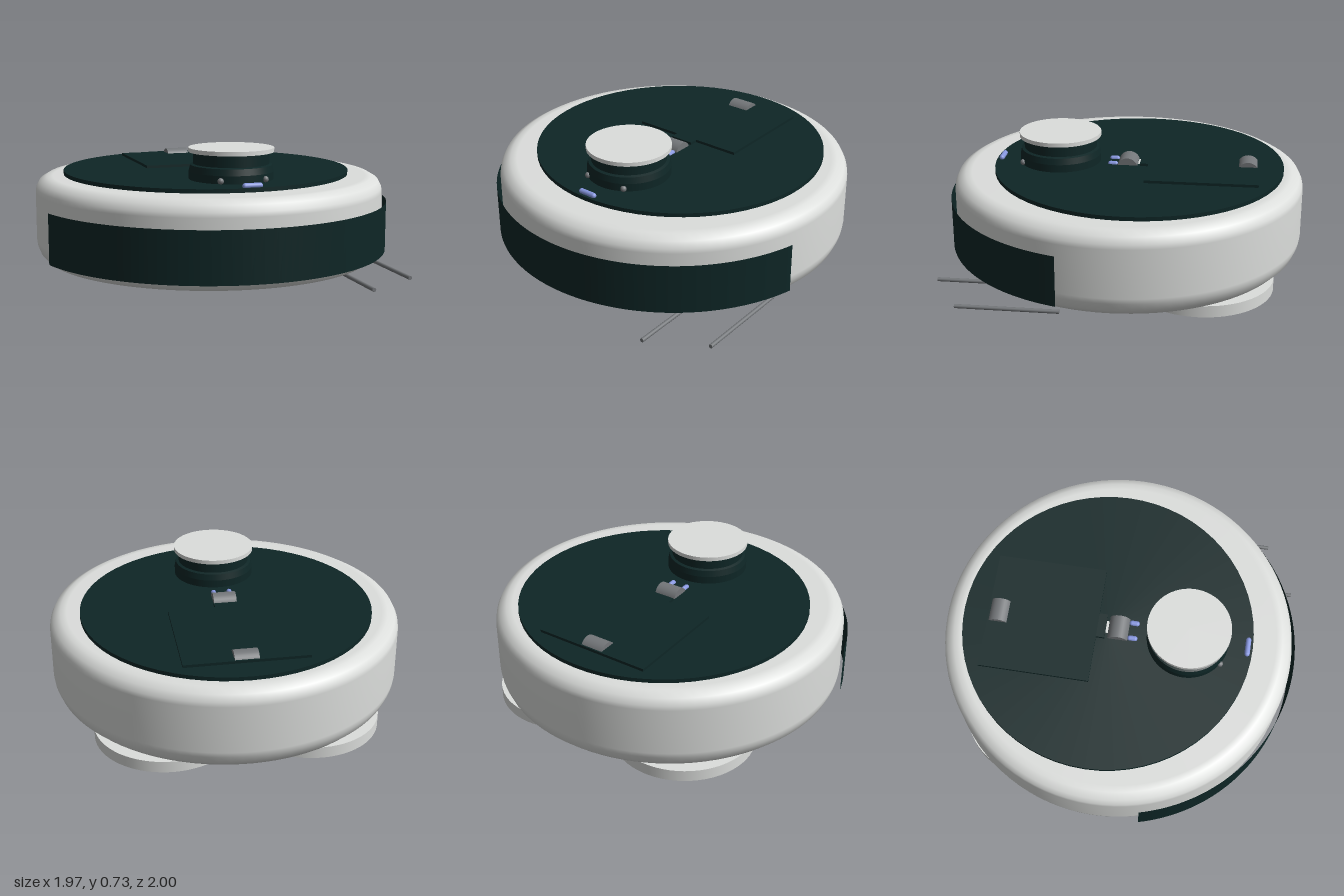
import * as THREE from 'three';

export function createModel() {
  const model = new THREE.Group();
  model.name = 'robotVacuum';

  const mat = (name, color, side = THREE.FrontSide) => {
    const m = new THREE.MeshStandardMaterial({ color, side });
    m.name = name;
    return m;
  };
  const white = mat('shell white', 0xdcdedc);
  const dark = mat('dark green', 0x0e2626, THREE.DoubleSide);
  const gray = mat('metal gray', 0x74777a);
  const blue = mat('indicator blue', 0x8797e0);

  const add = (name, geometry, material, x = 0, y = 0, z = 0) => {
    const mesh = new THREE.Mesh(geometry, material);
    mesh.name = name;
    mesh.position.set(x, y, z);
    model.add(mesh);
    return mesh;
  };
  // Upright disc given by its bottom and top heights
  const disc = (name, r, y0, y1, material, x, z) =>
    add(name, new THREE.CylinderGeometry(r, r, y1 - y0, 64), material, x, (y0 + y1) / 2, z);
  const box = (name, w, y0, y1, d, material, x, z) =>
    add(name, new THREE.BoxGeometry(w, y1 - y0, d), material, x, (y0 + y1) / 2, z);

  // Round shell with softened rims
  const profile = [
    [0, 0.07], [0.88, 0.07], [0.93, 0.07], [0.965, 0.105], [0.983, 0.15], [0.987, 0.18],
    [0.987, 0.45], [0.983, 0.475], [0.965, 0.51], [0.925, 0.533], [0.89, 0.535], [0, 0.535],
  ].map(([r, y]) => new THREE.Vector2(r, y));
  const bodyZ = -0.0125;
  add('bodyShell', new THREE.LatheGeometry(profile, 96), white, 0, 0, bodyZ);

  // Thin open bumper around the front
  const sweep = THREE.MathUtils.degToRad(150);
  add('frontBumper',
    new THREE.CylinderGeometry(1.0125, 1.0125, 0.28, 72, 1, true, -sweep / 2, sweep),
    dark, 0, 0.255, bodyZ);

  // Top plate and hatch
  disc('topPlate', 0.818, 0.53, 0.557, dark, 0, -0.072);
  box('hatch', 0.67, 0.55, 0.572, 0.62, dark, 0, -0.44);
  box('hatchTongue', 0.14, 0.55, 0.572, 0.05, dark, 0, -0.107);
  box('latchGap', 0.07, 0.553, 0.56, 0.02, white, 0, -0.078);

  // Half-sunk latch rollers
  for (const [name, z, r] of [['frontLatch', -0.01, 0.06], ['rearLatch', -0.69, 0.062]]) {
    const roller = add(name, new THREE.CylinderGeometry(r, r, 0.13, 32), gray, 0, 0.537, z);
    roller.rotation.z = Math.PI / 2;
  }

  // Sensor turret
  const turretZ = 0.38;
  const turret = [[0.23, 0.55], [0.23, 0.6], [0.222, 0.635], [0.206, 0.64], [0.206, 0.706]];
  turret.slice(0, -1).forEach(([r0, y0], i) => {
    const [r1, y1] = turret[i + 1];
    add('turretWall', new THREE.CylinderGeometry(r1, r0, y1 - y0, 64, 1, true),
      dark, 0, (y0 + y1) / 2, turretZ);
  });
  disc('turretCap', 0.232, 0.704, 0.727, white, 0, turretZ);

  // Mirrored details: turret studs, small lights and underside wheels
  for (const s of [-1, 1]) {
    add('turretStud', new THREE.SphereGeometry(0.017, 16, 12), gray, s * 0.125, 0.573, 0.575);
    const light = add('smallLight', new THREE.CapsuleGeometry(0.015, 0.028, 6, 12),
      blue, s * 0.045, 0.557, 0.073);
    light.rotation.x = Math.PI / 2;
    disc('undersideWheel', 0.394, 0, 0.065, white, s * 0.395, -0.459);
  }

  // Front indicator
  const indicator = add('frontIndicator', new THREE.CapsuleGeometry(0.015, 0.082, 6, 12),
    blue, 0, 0.565, 0.717);
  indicator.rotation.z = Math.PI / 2;

  // Rods below the shell
  for (const [x, z0, z1] of [[0.575, 0.415, 0.978], [0.875, 0.25, 0.805]]) {
    const rod = add('undersideRod', new THREE.CylinderGeometry(0.011, 0.011, z1 - z0, 16),
      gray, x, 0.033, (z0 + z1) / 2);
    rod.rotation.x = Math.PI / 2;
  }

  return model;
}
